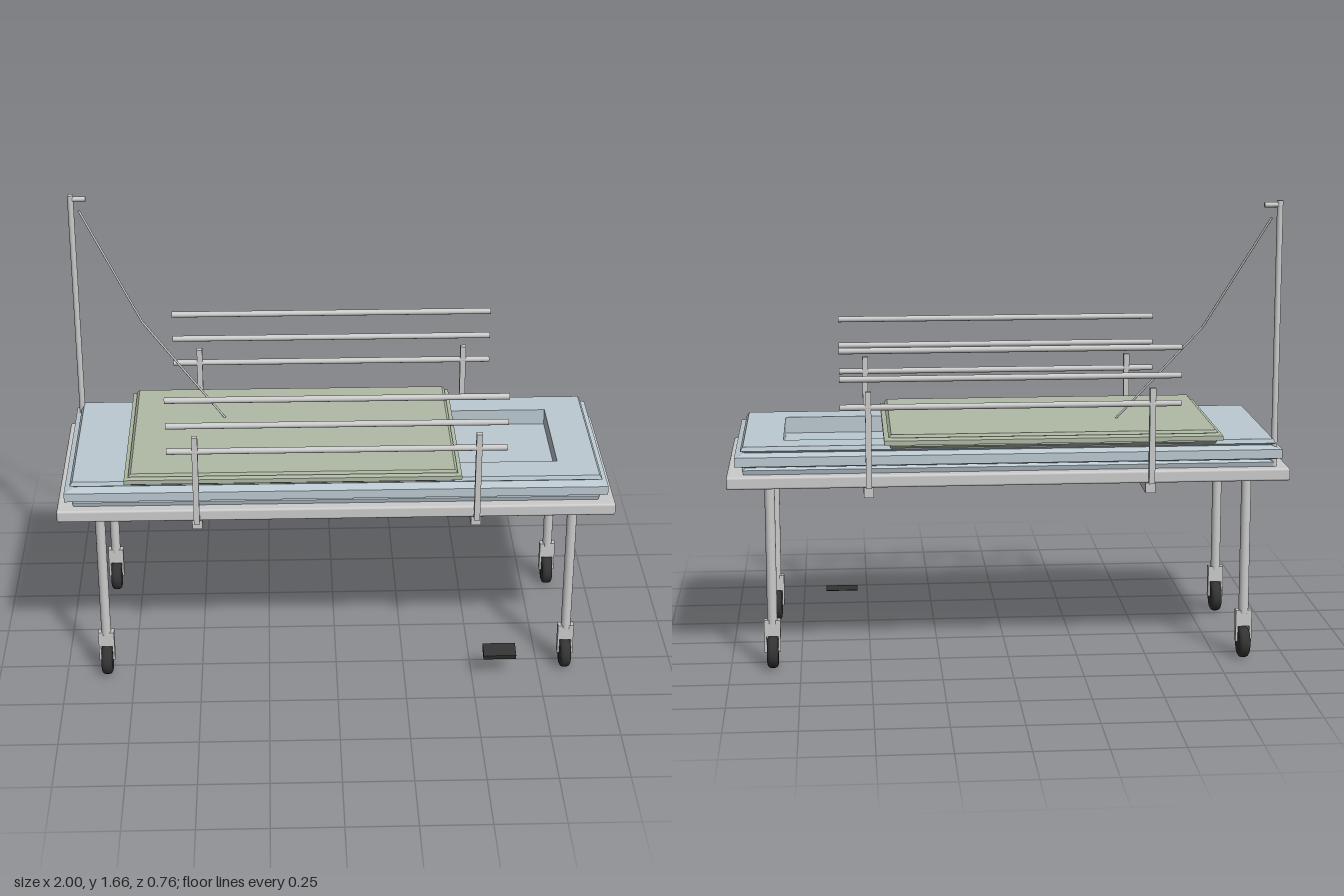
import * as THREE from 'three';
import { RoundedBoxGeometry } from 'three/addons/geometries/RoundedBoxGeometry.js';

const Z0 = -0.01; // centre line of the bed
const material = (color) => new THREE.MeshStandardMaterial({ color });
const metal = material(0xcccccc);
const rubber = material(0x333333);
const sheet = material(0xbccad2);
const cloth = material(0xb0bba6);

export function createModel() {
  const model = new THREE.Group();

  function add(name, geometry, mat, x = 0, y = 0, z = 0, parent = model) {
    const mesh = new THREE.Mesh(geometry, mat);
    mesh.name = name;
    mesh.position.set(x, y, z);
    parent.add(mesh);
    return mesh;
  }

  // Round bar between two points
  function bar(name, from, to, radius, sides = 16) {
    const a = new THREE.Vector3(...from);
    const b = new THREE.Vector3(...to);
    const dir = b.clone().sub(a);
    const geometry = new THREE.CylinderGeometry(radius, radius, dir.length(), sides);
    const mesh = add(name, geometry, metal);
    mesh.position.copy(a).add(b).multiplyScalar(0.5);
    mesh.quaternion.setFromUnitVectors(new THREE.Vector3(0, 1, 0), dir.normalize());
    return mesh;
  }

  // Rectangular rings [half x, half z, y, x shift] joined into one flat-faced cushion
  function cushion(rings) {
    const corners = [[-1, 1], [1, 1], [1, -1], [-1, -1]];
    const point = ([hx, hz, y, dx = 0], k) => [dx + corners[k][0] * hx, y, corners[k][1] * hz];
    const positions = [];
    for (let i = 0; i + 1 < rings.length; i++) {
      for (let k = 0; k < 4; k++) {
        const n = (k + 1) % 4;
        const a = point(rings[i], k), b = point(rings[i], n);
        const c = point(rings[i + 1], n), d = point(rings[i + 1], k);
        positions.push(...a, ...b, ...c, ...a, ...c, ...d);
      }
    }
    const geometry = new THREE.BufferGeometry();
    geometry.setAttribute('position', new THREE.Float32BufferAttribute(positions, 3));
    geometry.computeVertexNormals();
    return geometry;
  }

  // Bed frame
  add('frame', new RoundedBoxGeometry(2, 0.045, 0.695, 2, 0.008), metal, 0, 0.687, Z0 - 0.002);

  // Mattress with a projecting seam and a sunken pillow area
  add('mattress', cushion([
    [0, 0, 0.71], [0.94, 0.31, 0.71], [0.945, 0.315, 0.727], [0.93, 0.305, 0.735],
    [0.97, 0.34, 0.745], [0.97, 0.34, 0.778], [0.93, 0.305, 0.788],
    [0.95, 0.32, 0.797], [0.94, 0.315, 0.812],
    [0.3, 0.205, 0.812, 0.5], [0.3, 0.205, 0.752, 0.5], [0, 0, 0.752, 0.5],
  ]), sheet, 0, 0, Z0 - 0.002);

  // Blanket
  add('blanket', cushion([
    [0, 0, 0.8], [0.575, 0.32, 0.8], [0.58, 0.33, 0.809], [0.57, 0.32, 0.813],
    [0.6, 0.347, 0.816], [0.6, 0.347, 0.832], [0.57, 0.32, 0.837],
    [0.585, 0.338, 0.841], [0.575, 0.333, 0.852], [0, 0, 0.852],
  ]), cloth, -0.155, 0, Z0 - 0.003);

  // Legs with castors
  const rim = [[0, -0.02], [0.046, -0.02], [0.055, -0.015], [0.058, -0.007],
    [0.058, 0.007], [0.055, 0.015], [0.046, 0.02], [0, 0.02]];
  const wheelGeometry = new THREE.LatheGeometry(rim.map(([r, y]) => new THREE.Vector2(r, y)), 24);
  for (const x of [-0.85, 0.85]) {
    for (const z of [Z0 - 0.3, Z0 + 0.3]) {
      bar('leg', [x, 0.165, z], [x, 0.67, z], 0.018);
      const castor = new THREE.Group();
      castor.name = 'castor';
      castor.position.set(x, 0, z);
      model.add(castor);
      add('wheel', wheelGeometry, rubber, 0, 0.058, 0, castor).rotation.z = Math.PI / 2;
      add('forkTop', new THREE.BoxGeometry(0.058, 0.06, 0.028), metal, 0, 0.148, 0, castor);
      for (const side of [-1, 1]) {
        add('forkProng', new THREE.BoxGeometry(0.008, 0.06, 0.026), metal, side * 0.025, 0.09, 0, castor);
      }
    }
  }

  // Cross beams under the frame
  for (const x of [-0.5, 0.5]) {
    add('crossBeam', new THREE.BoxGeometry(0.036, 0.04, 0.665), metal, x, 0.645, Z0);
  }

  // Side guards
  for (const z of [Z0 - 0.359, Z0 + 0.361]) {
    for (const y of [0.955, 1.055, 1.155]) {
      bar('guardRail', [-0.6, y, z], [0.6, y, z], 0.011);
    }
    for (const x of [-0.5, 0.5]) {
      add('guardPost', new THREE.BoxGeometry(0.021, 0.345, 0.021), metal, x, 0.838, z);
    }
  }

  // Drip stand with hook and line
  bar('dripPole', [-0.948, 0.705, Z0 - 0.3], [-0.948, 1.66, Z0 - 0.3], 0.011);
  bar('dripHook', [-0.948, 1.645, Z0 - 0.3], [-0.893, 1.645, Z0 - 0.3], 0.009);
  const line = [[-0.92, 1.6, -0.31], [-0.7, 1.2, -0.207], [-0.4, 0.848, -0.11]];
  for (let i = 0; i < 2; i++) bar('dripLine', line[i], line[i + 1], 0.004, 8);

  // Brake pedal
  add('brakePedal', new THREE.BoxGeometry(0.12, 0.02, 0.06), rubber, 0.6, 0.102, 0.351).rotation.x = 0.3;

  return model;
}
